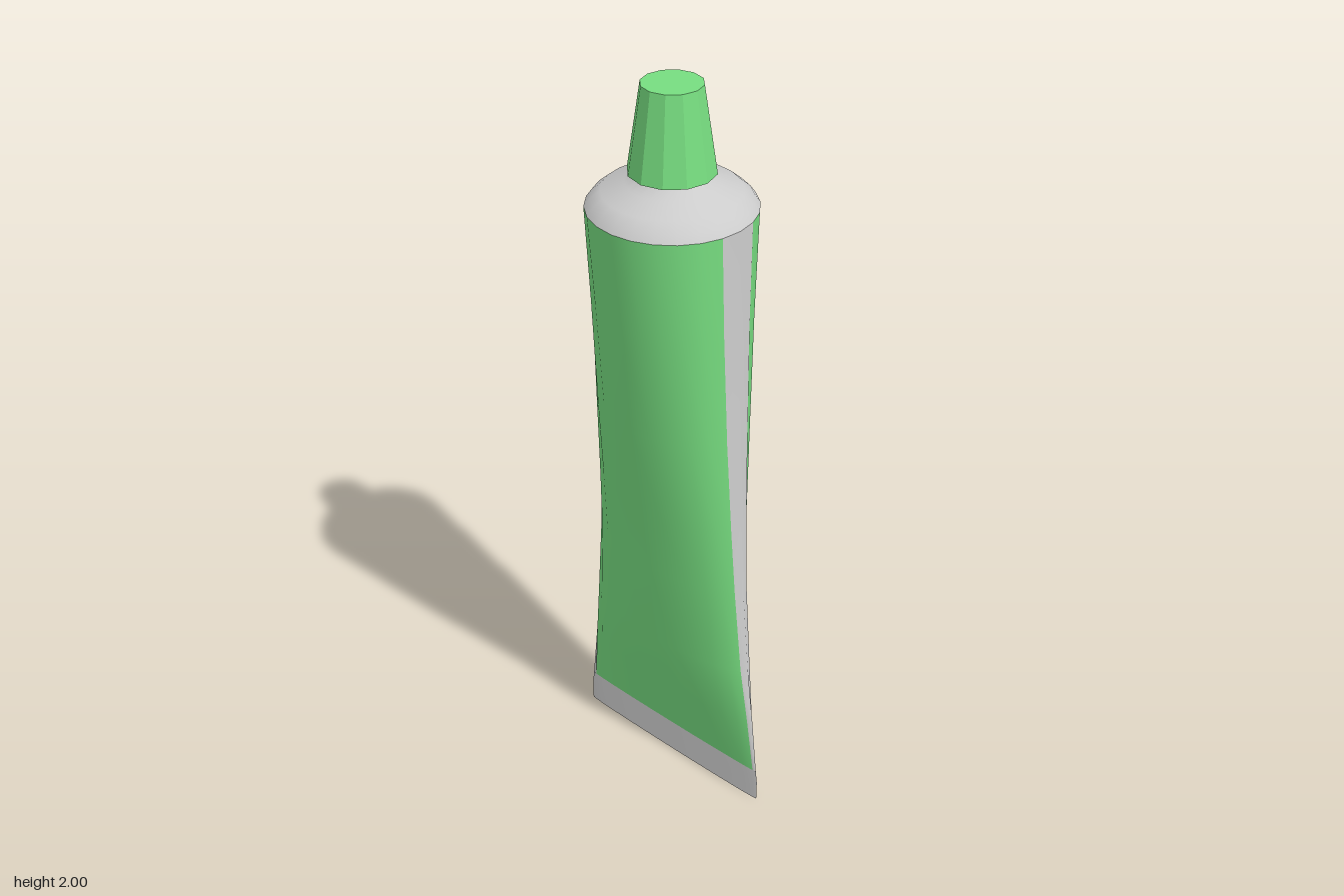
import * as THREE from 'three';

const GREEN = 0x77dd80, GREY = 0xcccccc;

// Tube cross-sections, top to bottom: [height, half width, half depth]
const SECTIONS = [
  [1.705, 0.203, 0.203],
  [1.45, 0.207, 0.177],
  [1.15, 0.217, 0.147],
  [0.9, 0.229, 0.115],
  [0.7, 0.241, 0.09],
  [0.45, 0.264, 0.071],
  [0.27, 0.286, 0.038],
  [0.1, 0.304, 0.006],
];
const CRIMP = [[0.1, 0.304, 0.006], [0.06, 0.309, 0.006], [0, 0.309, 0.006]];

function material(color, flatShading = false) {
  return new THREE.MeshStandardMaterial({ color, flatShading, side: THREE.DoubleSide });
}

// Skin over elliptical sections, between two angles measured from +x towards +z
function loft(name, sections, from, to, steps, color) {
  const pos = [], index = [];
  for (const [y, a, b] of sections) {
    for (let i = 0; i <= steps; i++) {
      const t = THREE.MathUtils.degToRad(from + ((to - from) * i) / steps);
      pos.push(a * Math.cos(t), y, b * Math.sin(t));
    }
  }
  const row = steps + 1;
  for (let j = 0; j < sections.length - 1; j++) {
    for (let i = 0; i < steps; i++) {
      const p = j * row + i, q = p + row;
      index.push(p, p + 1, q, p + 1, q + 1, q);
    }
  }
  const geo = new THREE.BufferGeometry();
  geo.setAttribute('position', new THREE.Float32BufferAttribute(pos, 3));
  geo.setIndex(index);
  geo.computeVertexNormals();
  const mesh = new THREE.Mesh(geo, material(color));
  mesh.name = name;
  return mesh;
}

export function createModel() {
  const model = new THREE.Group();
  model.name = 'squeezeTube';

  // Green printed panels front and back, bare grey stripes at the sides
  model.add(
    loft('frontPanel', SECTIONS, 15, 165, 10, GREEN),
    loft('backPanel', SECTIONS, 195, 345, 10, GREEN),
    loft('leftStripe', SECTIONS, -15, 15, 2, GREY),
    loft('rightStripe', SECTIONS, 165, 195, 2, GREY),
  );

  // Flat crimped end, closed underneath
  const crimp = new THREE.Group();
  crimp.name = 'crimpedEnd';
  crimp.add(
    loft('crimpFront', CRIMP, 0, 180, 12, GREY),
    loft('crimpBack', CRIMP, 180, 360, 12, GREY),
    loft('crimpBottom', [[0, 0.309, 0.006], [0, 0, 0]], 0, 360, 24, GREY),
  );
  model.add(crimp);

  // Rounded shoulder running up into the neck
  const profile = [[0.203, 1.705], [0.19, 1.723], [0.165, 1.744], [0.11, 1.765], [0.075, 1.788], [0.065, 1.81]]
    .map(([x, y]) => new THREE.Vector2(x, y)).reverse();
  const shoulder = new THREE.Mesh(new THREE.LatheGeometry(profile, 24), material(GREY));
  shoulder.name = 'shoulder';
  model.add(shoulder);

  // Faceted tapering screw cap
  const cap = new THREE.Mesh(new THREE.CylinderGeometry(0.073, 0.105, 0.21, 12), material(GREEN, true));
  cap.name = 'cap';
  cap.position.y = 1.895;
  model.add(cap);

  return model;
}
